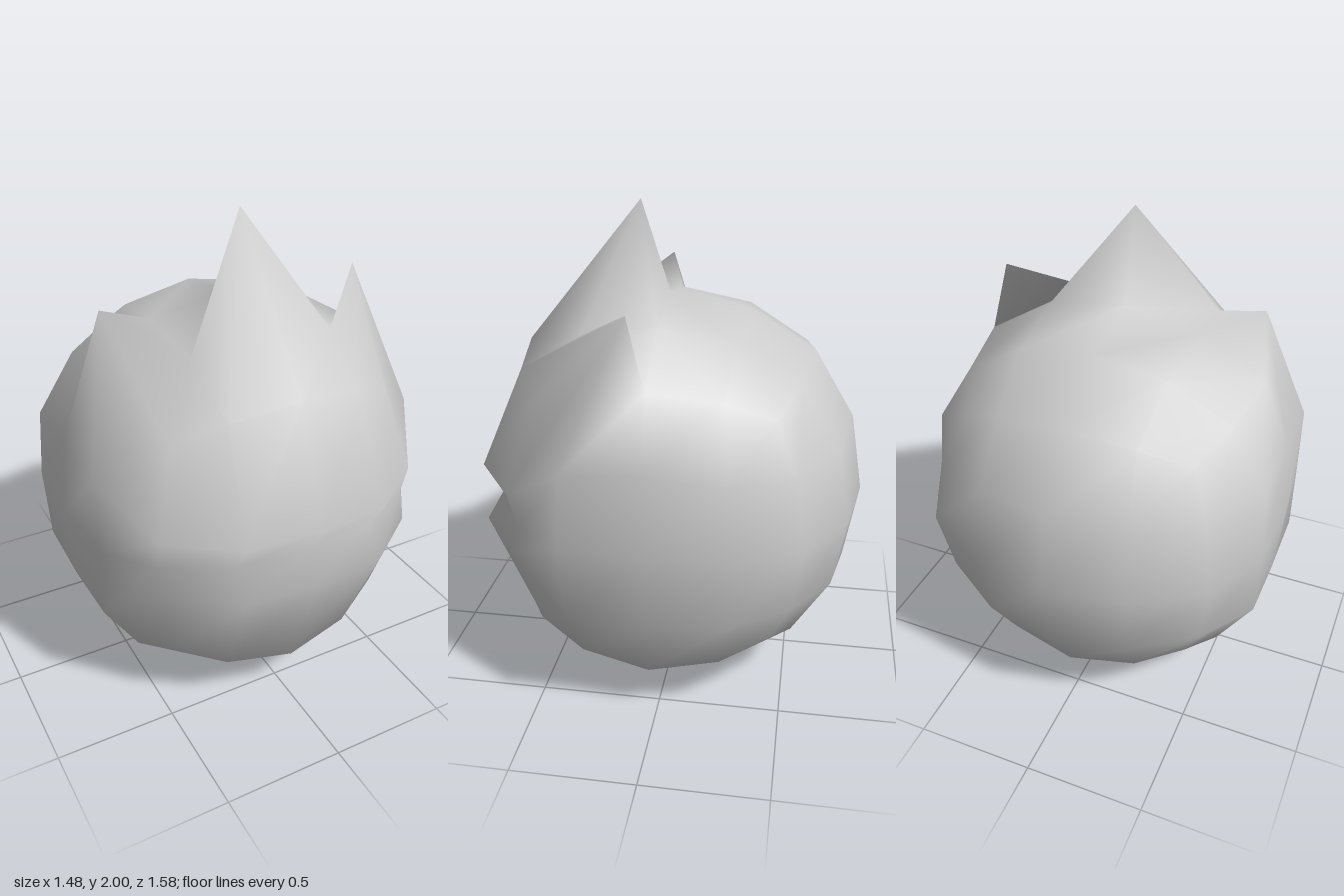
import * as THREE from 'three';
import { mergeVertices } from 'three/addons/utils/BufferGeometryUtils.js';

// Centre of the body
const CY = 0.8155, CZ = 0.027;

// Rounded cube: position for each kind of grid point, keyed by sorted |grid| coordinates.
// Each entry gives the rounded value for grid coordinate 2, 1 (or 0 where unused).
const ROUND = {
  '200': { 2: 0.8155 },
  '210': { 2: 0.761, 1: 0.325 },
  '211': { 2: 0.709, 1: 0.303 },
  '220': { 2: 0.597 },
  '221': { 2: 0.556, 1: 0.28 },
  '222': { 2: 0.473 },
};

function shapePoint(i, j, k) {
  const row = ROUND[[i, j, k].map(Math.abs).sort().reverse().join('')];
  const at = (n) => (n === 0 ? 0 : Math.sign(n) * row[Math.abs(n)]);
  const p = new THREE.Vector3(at(i), at(j) + CY, at(k) + CZ);
  const side = Math.sign(i), col = Math.abs(i);

  // Flattened cheeks
  if (col === 2) {
    if (j === 0 && k === 0) p.x = side * 0.74;
    else if (k === 0 && Math.abs(j) === 1) p.x = side * 0.709;
    else if (j === 0 && k === 1) p.x = side * 0.707;
    else if (j === 0 && k === -1) p.x = side * 0.724;
  }
  // Centre horn and the two side horns
  if (j === 2 && k === 1) {
    if (col === 0) p.set(0, 2, 0.145);
    if (col === 2) p.set(side * 0.556, 1.68, 0.1);
  }
  // Mouth: lips drawn together around a sunken crease
  if (k === 2) {
    if (Math.abs(j) === 1) {
      p.y = j > 0 ? 0.95 : 0.7;
      p.z = [0.79, 0.766, 0.583][col];
    }
    if (j === 0) {
      p.x = side * [0, 0.305, 0.56][col];
      p.z = [0.705, 0.68, 0.545][col];
    }
  }
  return p;
}

export function createModel() {
  const group = new THREE.Group();
  const grey = new THREE.MeshStandardMaterial({ color: 0xcccccc });
  grey.name = 'light grey';

  // One smooth skin, shared corners, moved point by point
  let skin = new THREE.BoxGeometry(4, 4, 4, 4, 4, 4);
  skin.deleteAttribute('normal');
  skin.deleteAttribute('uv');
  skin.clearGroups();
  skin = mergeVertices(skin);
  const pos = skin.attributes.position;
  for (let n = 0; n < pos.count; n++) {
    const p = shapePoint(Math.round(pos.getX(n)), Math.round(pos.getY(n)), Math.round(pos.getZ(n)));
    pos.setXYZ(n, p.x, p.y, p.z);
  }
  skin.computeVertexNormals();

  const body = new THREE.Mesh(skin, grey);
  body.name = 'hornedHead';
  group.add(body);
  return group;
}
